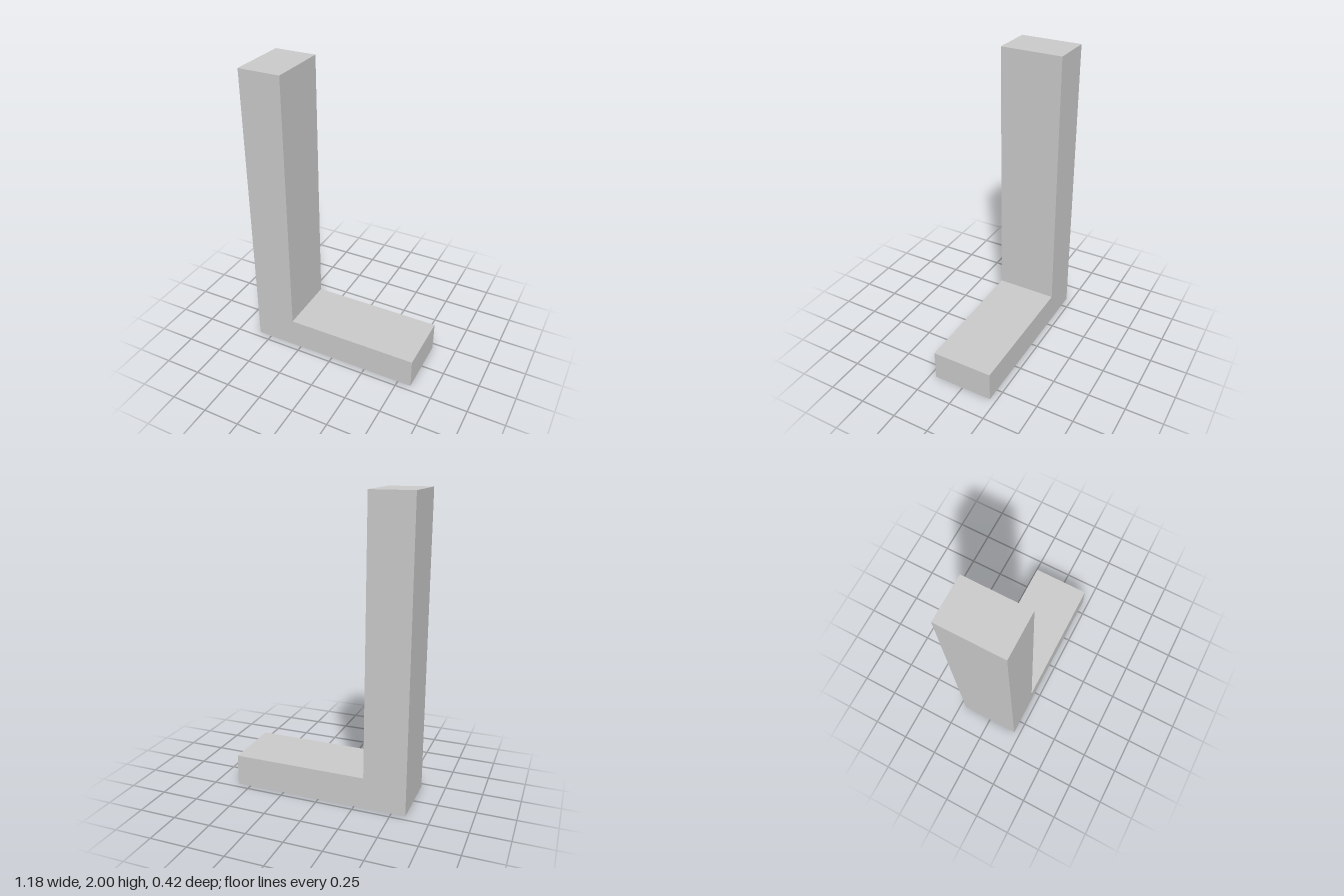
import * as THREE from 'three';

export function createModel() {
  const group = new THREE.Group();
  const halfWidth = 0.592, halfDepth = 0.208;
  const postInner = -0.31, footTop = 0.21, height = 2;

  // L-shaped profile: tall post on one side, flat foot along the ground
  const profile = new THREE.Shape([
    new THREE.Vector2(-halfWidth, 0),
    new THREE.Vector2(halfWidth, 0),
    new THREE.Vector2(halfWidth, footTop),
    new THREE.Vector2(postInner, footTop),
    new THREE.Vector2(postInner, height),
    new THREE.Vector2(-halfWidth, height),
  ]);
  const geometry = new THREE.ExtrudeGeometry(profile, { depth: 2 * halfDepth, bevelEnabled: false });
  geometry.translate(0, 0, -halfDepth);

  const bracket = new THREE.Mesh(
    geometry,
    new THREE.MeshStandardMaterial({ color: 0xcccccc, flatShading: true })
  );
  bracket.name = 'angleBracket';
  group.add(bracket);
  return group;
}
